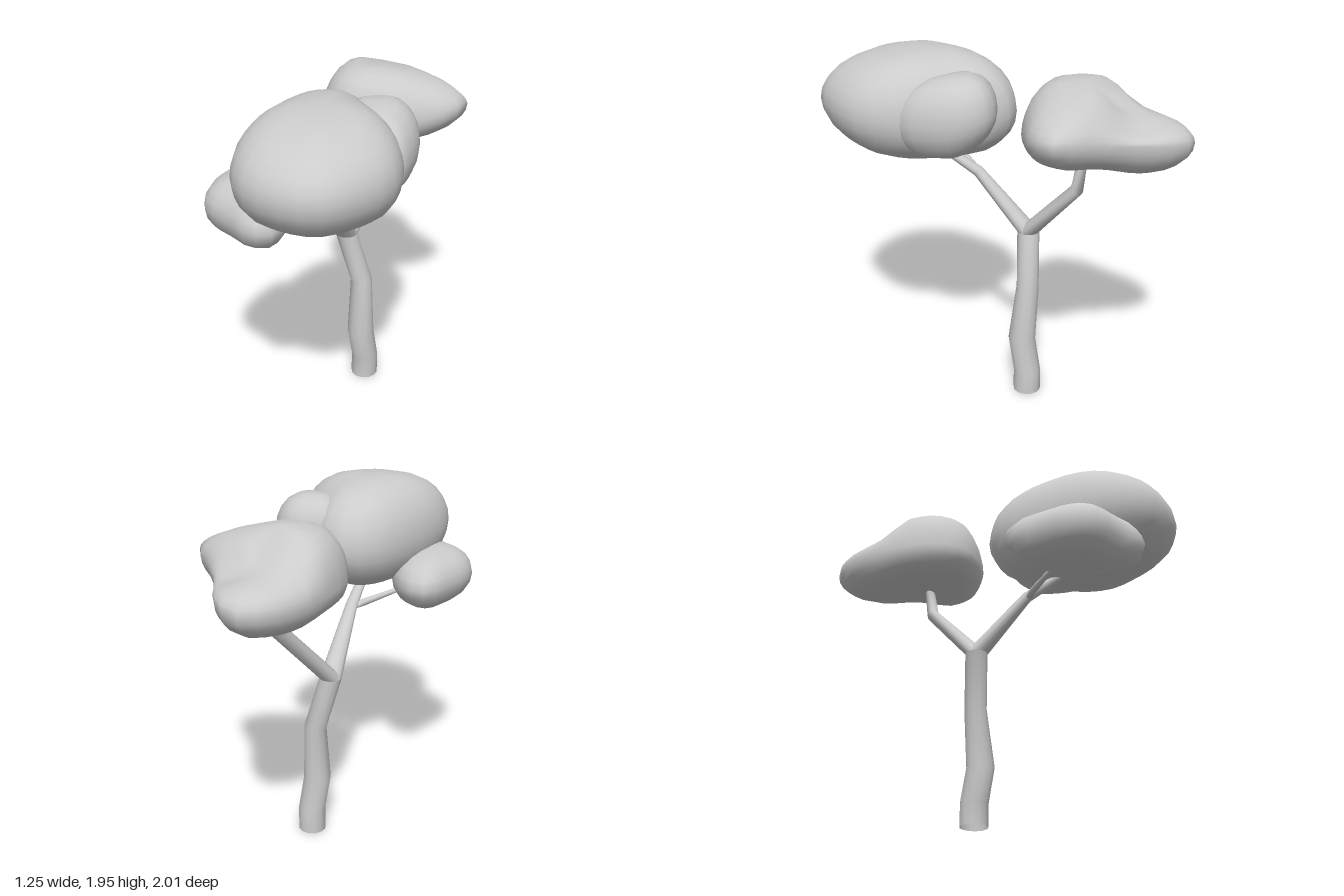
import * as THREE from 'three';
import { mergeVertices } from 'three/addons/utils/BufferGeometryUtils.js';

const material = new THREE.MeshStandardMaterial({ color: 0xcccccc });
const openMaterial = new THREE.MeshStandardMaterial({ color: 0xcccccc, side: THREE.DoubleSide });

// Smooth skin over closed rings of equal length
function skin(name, rings, surface) {
  const n = rings[0].length, index = [];
  for (let r = 0; r < rings.length - 1; r++) {
    for (let i = 0; i < n; i++) {
      const a = r * n + i, b = r * n + (i + 1) % n;
      index.push(a, a + n, b, b, a + n, b + n);
    }
  }
  let geometry = new THREE.BufferGeometry().setFromPoints(rings.flat());
  geometry.setIndex(index);
  geometry = mergeVertices(geometry, 1e-5);
  geometry.computeVertexNormals();
  const mesh = new THREE.Mesh(geometry, surface);
  mesh.name = name;
  return mesh;
}

// Open tapered limb with mitred bends; each station is [x, y, z, half width, half depth].
// The end rings lie level, so limbs meet cleanly.
function limb(name, stations, sides = 12) {
  const pts = stations.map(([x, y, z]) => new THREE.Vector3(x, y, z));
  const rings = pts.map((p, k) => {
    const t = new THREE.Vector3(0, 1, 0);
    if (k > 0 && k < pts.length - 1) {
      const before = p.clone().sub(pts[k - 1]).normalize();
      t.copy(pts[k + 1]).sub(p).normalize().add(before).normalize();
    }
    const u = new THREE.Vector3(1, 0, 0).addScaledVector(t, -t.x).normalize();
    const v = u.clone().cross(t);
    const [, , , width, depth = width] = stations[k];
    return Array.from({ length: sides }, (_, i) => {
      const a = i / sides * Math.PI * 2;
      return p.clone().addScaledVector(u, width * Math.cos(a)).addScaledVector(v, depth * Math.sin(a));
    });
  });
  return skin(name, rings, openMaterial);
}

// Leaf mass: a plan outline of [x, z] shrunk towards its centre above and below.
// mid, up and down give the height of the rim and the rise and drop at (x, z);
// a lower roundness makes the sides fuller.
function leaves(name, outline, [cx, cz], roundness, mid, up, down, segments = 28, levels = 14) {
  const curve = new THREE.CatmullRomCurve3(outline.map(([x, z]) => new THREE.Vector3(x, 0, z)), true);
  const plan = curve.getSpacedPoints(segments).slice(0, segments);
  const rings = [];
  for (let k = 0; k <= levels; k++) {
    const a = (k / levels - 0.5) * Math.PI, h = Math.sin(a);
    const s = k % levels ? Math.pow(Math.cos(a), roundness) : 0;
    rings.push(plan.map((p) => {
      const x = cx + (p.x - cx) * s, z = cz + (p.z - cz) * s;
      return new THREE.Vector3(x, mid(x, z) + h * (h > 0 ? up(x, z) : down(x, z)), z);
    }));
  }
  return skin(name, rings, material);
}

export function createModel() {
  const tree = new THREE.Group();
  tree.name = 'tree';

  // Trunk, open at the foot
  tree.add(limb('trunk', [
    [0.097, 0, -0.155, 0.077], [0.098, 0.13, -0.155, 0.077], [0.077, 0.32, -0.12, 0.077],
    [0.075, 0.65, -0.15, 0.062], [-0.01, 0.95, -0.135, 0.062],
  ]));

  // Branches, both growing from the full top of the trunk
  tree.add(limb('frontBranch', [
    [-0.01, 0.95, -0.135, 0.062], [-0.035, 1.27, 0.15, 0.034, 0.03],
    [-0.045, 1.39, 0.35, 0.026, 0.022], [-0.045, 1.46, 0.45, 0.02],
  ]));
  tree.add(limb('backBranch', [
    [-0.01, 0.95, -0.135, 0.062], [0.16, 1.29, -0.42, 0.056, 0.034],
    [0.15, 1.47, -0.445, 0.045, 0.026], [0.15, 1.52, -0.45, 0.035, 0.02],
  ]));
  tree.add(limb('sideTwig', [
    [-0.03, 1.25, 0.15, 0.022], [-0.09, 1.28, 0.19, 0.02], [-0.25, 1.33, 0.32, 0.013],
    [-0.34, 1.36, 0.4, 0.012],
  ], 8));

  // Large front leaf mass
  tree.add(leaves('frontLeaves', [
    [0.36, 0.5], [0.34, 0.71], [0.2, 0.89], [0.04, 1], [-0.12, 1], [-0.33, 0.9], [-0.42, 0.77],
    [-0.45, 0.57], [-0.33, 0.2], [-0.19, 0], [-0.05, -0.06], [0.08, -0.03], [0.2, 0.16], [0.3, 0.32],
  ], [-0.06, 0.44], 0.7, (x, z) => 1.63 + 0.03 * z,
  (x, z) => 0.305 - 0.1 * Math.max(0, z - 0.45), () => 0.275));

  // Small leaf mass on the left shoulder
  tree.add(leaves('shoulderLeaves', [
    [0.41, 0.2], [0.39, 0.36], [0.33, 0.49], [0.2, 0.49], [0.06, 0.36], [-0.01, 0.18],
    [0.03, 0.05], [0.16, 0], [0.29, 0], [0.37, 0.07],
  ], [0.2, 0.22], 0.75, (x, z) => 1.665 - 0.12 * (z - 0.21), () => 0.215,
  (x, z) => 0.215 - 0.25 * Math.max(0, 0.2 - z), 22, 10));

  // Low leaf mass on the right
  tree.add(leaves('lowLeaves', [
    [-0.19, 0.5], [-0.18, 0.7], [-0.23, 0.81], [-0.34, 0.81], [-0.46, 0.71], [-0.615, 0.57],
    [-0.625, 0.42], [-0.56, 0.24], [-0.48, 0.09], [-0.4, 0.08], [-0.3, 0.15], [-0.22, 0.3],
  ], [-0.4, 0.46], 0.85, () => 1.41, () => 0.16, () => 0.168, 24, 10));

  // Back leaf mass: tall in front, low at the rear with a dip on its left flank
  const flank = (x) => Math.max(0, x - 0.15);
  const slope = (z) => THREE.MathUtils.smoothstep(-z, 0.5, 0.75);
  const dip = (x, z) => 0.05 * Math.exp(-((x - 0.33) ** 2 + (z + 0.7) ** 2) / 0.03);
  tree.add(leaves('backLeaves', [
    [0.62, -0.36], [0.52, -0.23], [0.36, -0.17], [0.22, -0.135], [0.05, -0.14], [-0.08, -0.18],
    [-0.17, -0.32], [-0.17, -0.5], [-0.1, -0.77], [0.03, -0.95], [0.14, -1], [0.24, -0.97],
    [0.33, -0.84], [0.39, -0.69], [0.5, -0.53],
  ], [0.14, -0.46], 0.55, (x) => 1.58 + 0.2 * flank(x),
  (x, z) => 0.29 - 0.38 * flank(x) - (0.15 - 0.2 * flank(x)) * slope(z) - dip(x, z),
  (x, z) => 0.15 + 0.03 * slope(z)));

  return tree;
}
